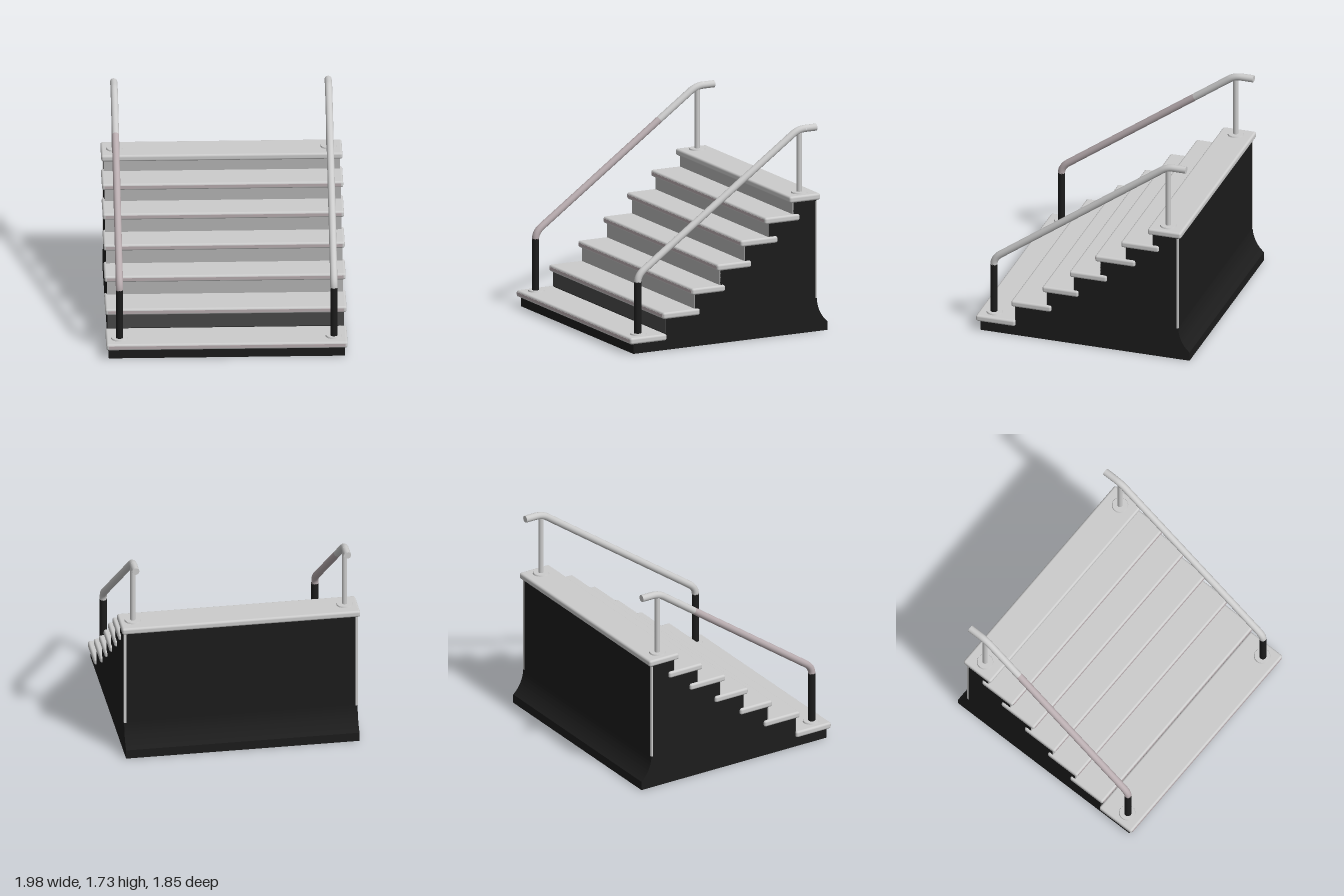
import * as THREE from 'three';
import { RoundedBoxGeometry } from 'three/addons/geometries/RoundedBoxGeometry.js';

const material = (name, color) => {
  const m = new THREE.MeshStandardMaterial({ color });
  m.name = name;
  return m;
};

export function createModel() {
  const model = new THREE.Group();
  model.name = 'staircase';
  const black = material('black', 0x1c1c1c);
  const light = material('light grey', 0xcccccc);
  const riserGrey = material('riser grey', 0xb6b6b6);
  const darkGrey = material('dark grey', 0x494949);
  const pinkGrey = material('pinkish grey', 0xb9adb0);

  const add = (name, geometry, mat, x = 0, y = 0, z = 0, parent = model) => {
    const mesh = new THREE.Mesh(geometry, mat);
    mesh.name = name;
    mesh.position.set(x, y, z);
    parent.add(mesh);
    return mesh;
  };

  // Each step: tread front z, tread back z, tread top y, riser z
  const steps = [
    [0.92, 0.58, 0.137, 0.885],
    [0.615, 0.27, 0.317, 0.58],
    [0.345, 0.035, 0.49, 0.31],
    [0.11, -0.21, 0.667, 0.075],
    [-0.11, -0.455, 0.845, -0.155],
    [-0.335, -0.66, 1.01, -0.375],
    [-0.565, -0.853, 1.163, -0.605],
  ];
  const thick = 0.055;
  const bodyWidth = 1.94;

  // Solid stepped body with a flared foot at the back, drawn in (z, y)
  const profile = new THREE.Shape();
  profile.moveTo(-0.923, 0);
  profile.lineTo(steps[0][3], 0);
  steps.forEach(([, , top, riser], i) => {
    profile.lineTo(riser, top - thick / 2);
    if (i < steps.length - 1) profile.lineTo(steps[i + 1][3], top - thick / 2);
  });
  profile.lineTo(-0.825, 1.135);
  profile.lineTo(-0.825, 0.28);
  profile.bezierCurveTo(-0.83, 0.19, -0.87, 0.12, -0.923, 0.075);
  profile.closePath();
  const body = new THREE.ExtrudeGeometry(profile, { depth: bodyWidth, bevelEnabled: false, curveSegments: 10 });
  body.translate(0, 0, -bodyWidth / 2).rotateY(-Math.PI / 2);
  add('body', body, black);

  // Treads, nosing strips and riser panels
  steps.forEach(([front, back, top, riser], i) => {
    const depth = front - back;
    add('tread', new RoundedBoxGeometry(1.98, thick, depth, 3, 0.018), light, 0, top - thick / 2, (front + back) / 2);
    if (i < steps.length - 1) {
      add('nosing', new THREE.BoxGeometry(1.94, 0.024, 0.004), pinkGrey, 0, top - thick / 2, front);
    }
    if (i > 0) {
      const low = steps[i - 1][2];
      const high = top - thick;
      add('riser', new THREE.BoxGeometry(bodyWidth, high - low, 0.006), i === 1 ? darkGrey : riserGrey,
        0, (low + high) / 2, riser + 0.002);
    }
  });

  // Light trim on the rear upright corners
  for (const side of [-1, 1]) {
    add('cornerTrim', new THREE.BoxGeometry(0.02, 0.82, 0.014), light, side * 0.962, 0.69, -0.82);
  }

  // Handrails
  const point = (z, y) => new THREE.Vector3(0, y, z);
  const tube = (curve, segments) => new THREE.TubeGeometry(curve, segments, 0.03, 14);
  const lowCorner = point(0.797, 0.633);
  const highCorner = point(-0.7, 1.697);
  const along = (t) => lowCorner.clone().lerp(highCorner, t);
  const bendIn = point(0.797, 0.575);
  const bendOut = point(-0.76, 1.697);
  const end = point(-0.865, 1.697);

  for (const side of [-1, 1]) {
    const rail = new THREE.Group();
    rail.name = side > 0 ? 'leftHandrail' : 'rightHandrail';
    rail.position.x = side * 0.88;
    model.add(rail);

    const part = (name, geometry, mat, y = 0, z = 0) => add(name, geometry, mat, 0, y, z, rail);
    const lowerMat = side < 0 ? pinkGrey : light;
    part('frontPost', new THREE.CylinderGeometry(0.03, 0.03, 0.45, 14), black, 0.355, 0.797);
    part('lowerBend', tube(new THREE.QuadraticBezierCurve3(bendIn, lowCorner, along(0.04)), 8), lowerMat);
    part('lowerRail', tube(new THREE.LineCurve3(along(0.04), along(0.77)), 1), lowerMat);
    part('upperRail', tube(new THREE.LineCurve3(along(0.77), along(0.965)), 1), light);
    part('upperBend', tube(new THREE.QuadraticBezierCurve3(along(0.965), highCorner, bendOut), 8), light);
    part('railEnd', tube(new THREE.LineCurve3(bendOut, end), 1), light);
    part('railCap', new THREE.CircleGeometry(0.03, 14).rotateY(Math.PI), light, end.y, end.z);
    part('rearPost', new THREE.CylinderGeometry(0.022, 0.022, 0.53, 14), light, 1.425, -0.71);

    // Round mounting flanges under both posts
    for (const [y, z] of [[0.14, 0.79], [1.166, -0.71]]) {
      part('flange', new THREE.CylinderGeometry(0.064, 0.07, 0.016, 24), light, y, z);
    }
  }
  return model;
}
